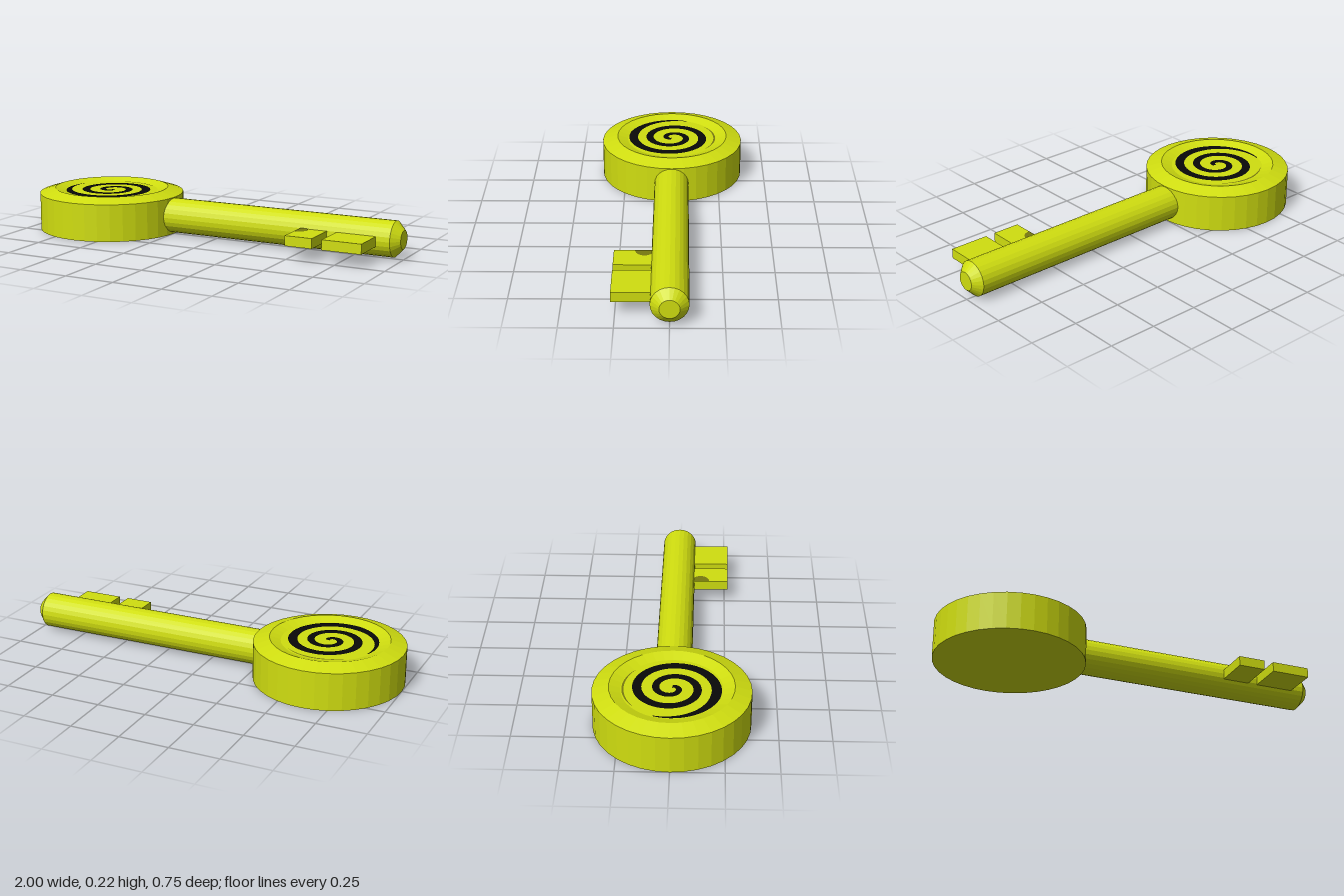
import * as THREE from 'three';

const TAU = Math.PI * 2;
const HEAD_X = -0.625;
const FLOOR_Y = 0.197;

const material = (name, color, options = {}) =>
  Object.assign(new THREE.MeshStandardMaterial({ color, ...options }), { name });

// Faceted solid of revolution from [radius, height] pairs
const lathe = (pairs, sides) =>
  new THREE.LatheGeometry(pairs.map(([r, y]) => new THREE.Vector2(r, y)), sides);

// Flat spiral ribbon lying in the ground plane
function ribbon(from, to, radiusAt, widthAt, steps) {
  const outer = [], inner = [];
  for (let i = 0; i <= steps; i++) {
    const t = i / steps;
    const a = THREE.MathUtils.degToRad(from + (to - from) * t);
    const r = radiusAt(t), h = widthAt(t) / 2;
    outer.push(new THREE.Vector2(Math.cos(a) * (r + h), Math.sin(a) * (r + h)));
    inner.push(new THREE.Vector2(Math.cos(a) * (r - h), Math.sin(a) * (r - h)));
  }
  const shape = new THREE.Shape([...outer, ...inner.reverse()]);
  return new THREE.ShapeGeometry(shape).rotateX(-Math.PI / 2);
}

export function createModel() {
  const model = new THREE.Group();
  model.name = 'key';
  const yellow = material('limeYellow', 0xd0de10, { flatShading: true });
  const black = material('black', 0x080808, { side: THREE.DoubleSide });
  const olive = material('darkOlive', 0x77790f, { side: THREE.DoubleSide });

  const add = (name, geometry, mat, x = 0, y = 0, z = 0) => {
    const mesh = new THREE.Mesh(geometry, mat);
    mesh.name = name;
    mesh.position.set(x, y, z);
    model.add(mesh);
    return mesh;
  };

  // Round head with bevelled rim and shallow dish
  add('head', lathe([
    [0, 0], [0.375, 0], [0.375, 0.19], [0.295, 0.215], [0.24, FLOOR_Y], [0, FLOOR_Y],
  ], 36), yellow, HEAD_X);

  // Spiral winding inwards, with a pointed outer end
  add('spiral', ribbon(160, 1070,
    (t) => 0.236 - 0.226 * t,
    (t) => (0.05 - 0.022 * t) * Math.min(1, 0.1 + t * 9), 140),
  black, HEAD_X, FLOOR_Y + 0.003);

  // Faint outer tail of the spiral
  add('spiralTail', ribbon(50, 130, () => 0.23, (t) => 0.002 + 0.008 * Math.sin(t * Math.PI), 24),
    olive, HEAD_X, FLOOR_Y + 0.002);

  // Shaft with chamfered tip
  const shaft = add('shaft', lathe([
    [0, -0.32], [0.089, -0.32], [0.089, 0.96], [0.047, 1], [0, 1],
  ], 24), yellow, 0, 0.098, 0);
  shaft.rotation.z = -Math.PI / 2;

  // Two teeth pointing to the front
  for (const [name, x0, x1] of [['innerTooth', 0.5, 0.64], ['outerTooth', 0.69, 0.89]]) {
    add(name, new THREE.BoxGeometry(x1 - x0, 0.05, 0.235), yellow, (x0 + x1) / 2, 0.095, 0.15);
  }

  // Dark rounded mark on the inner tooth
  const mark = new THREE.Shape();
  mark.absellipse(0, 0, 0.052, 0.045, -Math.PI / 2, Math.PI / 2, false);
  add('toothMark', new THREE.ShapeGeometry(mark, 12).rotateX(-Math.PI / 2), olive, 0.502, 0.122, 0.122);

  return model;
}
